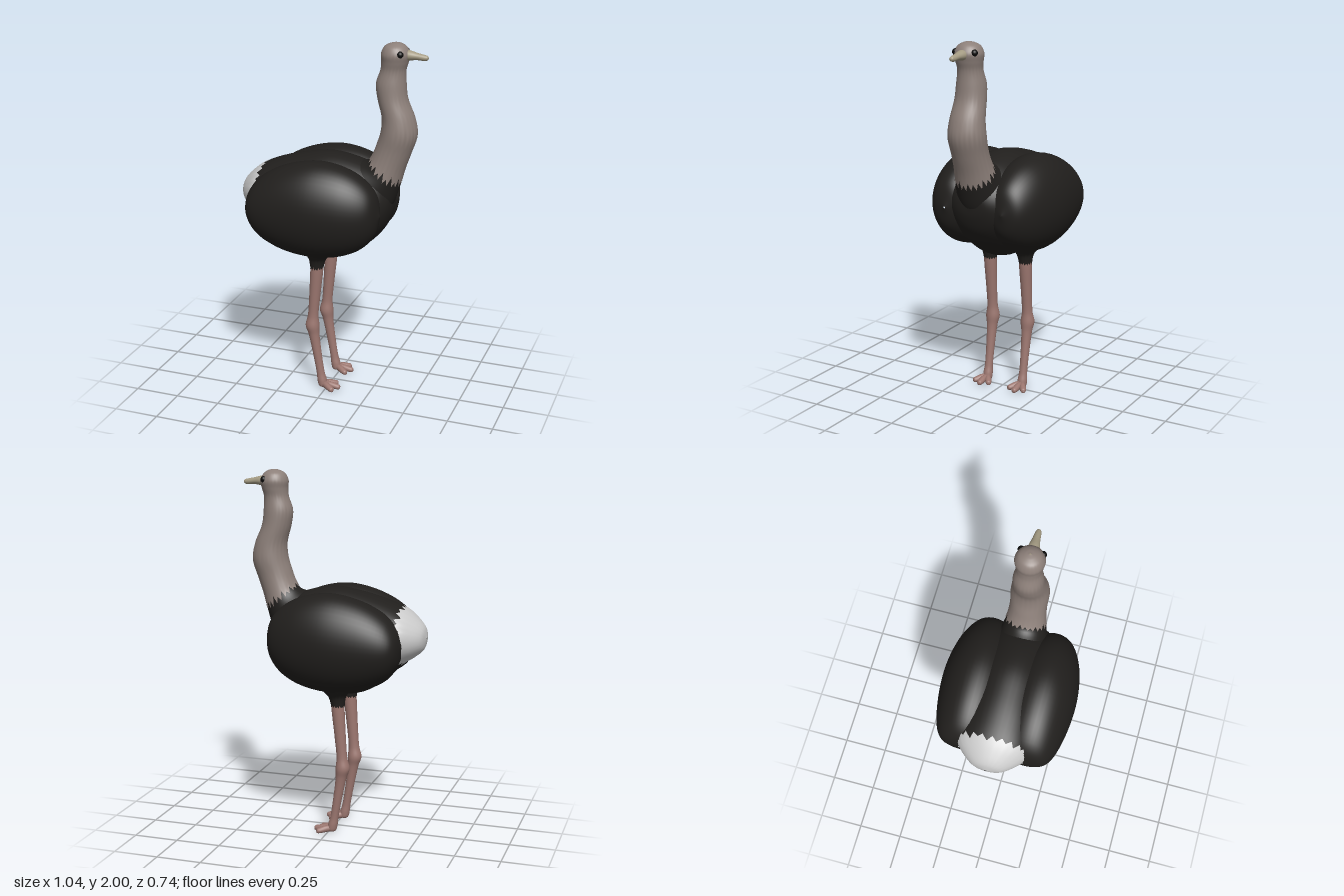
import * as THREE from 'three';

const mat = (color) => new THREE.MeshStandardMaterial({ color, roughness: 0.8 });

// Smooth loft through elliptical rings [ax, ay, bx, by, halfWidth]: a and b are
// opposite points of the ring in the xy plane, halfWidth is its reach in z.
// start and end give the used range of the path for each column (for ragged edges).
function loft(rings, { start = () => 0, end = () => 1, inflate = 0, steps = 48, seg = 48 } = {}) {
  const curveA = new THREE.CatmullRomCurve3(rings.map((r) => new THREE.Vector3(r[0], r[1], r[4])));
  const curveB = new THREE.CatmullRomCurve3(rings.map((r) => new THREE.Vector3(r[2], r[3], 0)));
  const pos = [], index = [];
  for (let i = 0; i <= steps; i++) {
    for (let j = 0; j < seg; j++) {
      const t = THREE.MathUtils.lerp(start(j), end(j), i / steps);
      const a = curveA.getPoint(t), b = curveB.getPoint(t);
      const ang = (j / seg) * Math.PI * 2;
      const dx = (b.x - a.x) / 2, dy = (b.y - a.y) / 2;
      const k = Math.cos(ang) * (1 + inflate / Math.max(Math.hypot(dx, dy), 0.02));
      pos.push((a.x + b.x) / 2 + dx * k, (a.y + b.y) / 2 + dy * k,
        Math.sin(ang) * (Math.max(a.z, 0.001) + inflate));
    }
  }
  for (let i = 0; i < steps; i++) {
    for (let j = 0; j < seg; j++) {
      const p = i * seg + j, q = i * seg + ((j + 1) % seg);
      index.push(p, q, p + seg, q, q + seg, p + seg);
    }
  }
  const geo = new THREE.BufferGeometry();
  geo.setAttribute('position', new THREE.Float32BufferAttribute(pos, 3));
  geo.setIndex(index);
  geo.computeVertexNormals();
  return geo;
}

// Rings for a round limb running downwards, from [x, y, radius]
const limb = (pts) => pts.map(([x, y, r]) => [x - r, y, x + r, y, r]);

// Uneven zigzag from 0 to 1 for feather edges
const ragged = (j) => (j % 2 ? 0.55 + 0.45 * Math.sin(j * 2.3) ** 2 : 0.25 * Math.cos(j * 1.7) ** 2);

// Trunk from tail tip to chest
const TRUNK = [
  [-0.52, 1.115, -0.52, 1.125, 0.004],
  [-0.503, 1.06, -0.505, 1.175, 0.075],
  [-0.46, 1.02, -0.455, 1.23, 0.14],
  [-0.4, 0.98, -0.39, 1.277, 0.195],
  [-0.3, 0.88, -0.28, 1.322, 0.225],
  [-0.18, 0.805, -0.15, 1.357, 0.23],
  [-0.04, 0.78, -0.02, 1.376, 0.23],
  [0.1, 0.805, 0.1, 1.362, 0.22],
  [0.22, 0.885, 0.2, 1.33, 0.2],
  [0.3, 0.975, 0.28, 1.28, 0.16],
  [0.335, 1.06, 0.335, 1.2, 0.09],
  [0.345, 1.125, 0.345, 1.135, 0.004],
];

// Folded wing lobe
const WING = [
  [-0.425, 1.1, -0.425, 1.11, 0.005],
  [-0.405, 1.0, -0.405, 1.18, 0.1],
  [-0.35, 0.92, -0.35, 1.25, 0.145],
  [-0.22, 0.855, -0.22, 1.325, 0.18],
  [-0.04, 0.83, -0.04, 1.366, 0.195],
  [0.12, 0.855, 0.12, 1.345, 0.175],
  [0.23, 0.91, 0.23, 1.29, 0.135],
  [0.295, 0.985, 0.295, 1.22, 0.085],
  [0.325, 1.095, 0.325, 1.105, 0.005],
];

// Neck and head, from inside the chest to the crown
const NECK = [
  [0.24, 0.98, -0.02, 1.32, 0.16],
  [0.335, 1.1, 0.12, 1.335, 0.135],
  [0.375, 1.21, 0.205, 1.355, 0.112],
  [0.4, 1.31, 0.235, 1.4, 0.1],
  [0.435, 1.41, 0.255, 1.455, 0.096],
  [0.465, 1.51, 0.275, 1.52, 0.1],
  [0.45, 1.6, 0.28, 1.6, 0.092],
  [0.41, 1.7, 0.255, 1.7, 0.082],
  [0.4, 1.78, 0.245, 1.78, 0.076],
  [0.398, 1.855, 0.268, 1.855, 0.064],
  [0.41, 1.9, 0.272, 1.9, 0.07],
  [0.418, 1.94, 0.27, 1.94, 0.075],
  [0.4, 1.975, 0.288, 1.978, 0.058],
  [0.373, 1.994, 0.317, 1.994, 0.028],
  [0.347, 2.0, 0.343, 2.0, 0.002],
];

const BEAK = [
  [0.36, 1.905, 0.36, 1.965, 0.032],
  [0.42, 1.91, 0.42, 1.962, 0.029],
  [0.46, 1.915, 0.46, 1.952, 0.021],
  [0.5, 1.913, 0.5, 1.944, 0.016],
  [0.516, 1.918, 0.516, 1.939, 0.011],
  [0.521, 1.927, 0.521, 1.93, 0.001],
];

const THIGH = limb([[-0.04, 0.92, 0.13], [-0.045, 0.84, 0.09], [-0.05, 0.79, 0.05],
  [-0.053, 0.76, 0.041], [-0.055, 0.725, 0.036]]);

const SHIN = limb([[-0.05, 0.8, 0.036], [-0.055, 0.72, 0.036], [-0.068, 0.56, 0.031], [-0.078, 0.44, 0.03],
  [-0.082, 0.38, 0.039], [-0.074, 0.33, 0.031], [-0.056, 0.22, 0.025], [-0.034, 0.09, 0.023],
  [-0.025, 0.045, 0.027], [-0.02, 0.015, 0.024], [-0.02, 0.003, 0.002]]);

// Toe reaching forward along x
const toe = (len) => [
  [-0.01, 0.01, -0.01, 0.04, 0.014],
  [len * 0.4, 0.005, len * 0.4, 0.043, 0.018],
  [len * 0.8, 0.002, len * 0.8, 0.034, 0.017],
  [len * 0.96, 0.004, len * 0.96, 0.028, 0.012],
  [len, 0.015, len, 0.017, 0.001],
];

export function createModel() {
  const model = new THREE.Group();
  model.name = 'flightlessBird';
  const feather = mat(0x211f1d), tailWhite = mat(0xc4c4c0), skin = mat(0x8d807a);
  const legSkin = mat(0x9c7770), horn = mat(0xa49b83), black = mat(0x0a0a0a);

  const add = (name, geo, material, parent = model) => {
    const mesh = new THREE.Mesh(geo, material);
    mesh.name = name;
    parent.add(mesh);
    return mesh;
  };

  // Body, with the white tail laid over its rear end
  add('trunk', loft(TRUNK), feather);
  add('tailPlume', loft(TRUNK, { end: (j) => (3.25 - 0.45 * ragged(j)) / 11, inflate: 0.004, steps: 24 }), tailWhite);

  // Neck feathers below, bare skin above
  add('neckFeathers', loft(NECK, { end: () => 3 / 14, steps: 20 }), feather);
  add('neckAndHead', loft(NECK, { start: (j) => (2 + 0.65 * ragged(j)) / 14, inflate: 0.003, steps: 90 }), skin);
  add('beak', loft(BEAK, { steps: 24, seg: 24 }), horn);

  for (const [side, s] of [['left', 1], ['right', -1]]) {
    // The model looks along +x, so the two sides mirror in z
    add(side + 'Wing', loft(WING), feather).position.z = 0.175 * s;
    add(side + 'Eye', new THREE.SphereGeometry(0.018, 20, 14), black).position.set(0.384, 1.947, 0.056 * s);

    const leg = new THREE.Group();
    leg.name = side + 'Leg';
    leg.position.z = 0.113 * s;
    model.add(leg);
    add('thighFeathers', loft(THIGH, { steps: 24, seg: 32, end: (j) => 1 - 0.15 * ragged(j) }), feather, leg);
    add('shank', loft(SHIN, { steps: 60, seg: 24 }), legSkin, leg);
    for (const [k, len] of [[-1, 0.093], [0, 0.105], [1, 0.093]]) {
      const mesh = add('toe', loft(toe(len), { steps: 16, seg: 16 }), legSkin, leg);
      mesh.position.x = -0.022;
      mesh.rotation.y = k * 0.58;
    }
  }
  return model;
}
